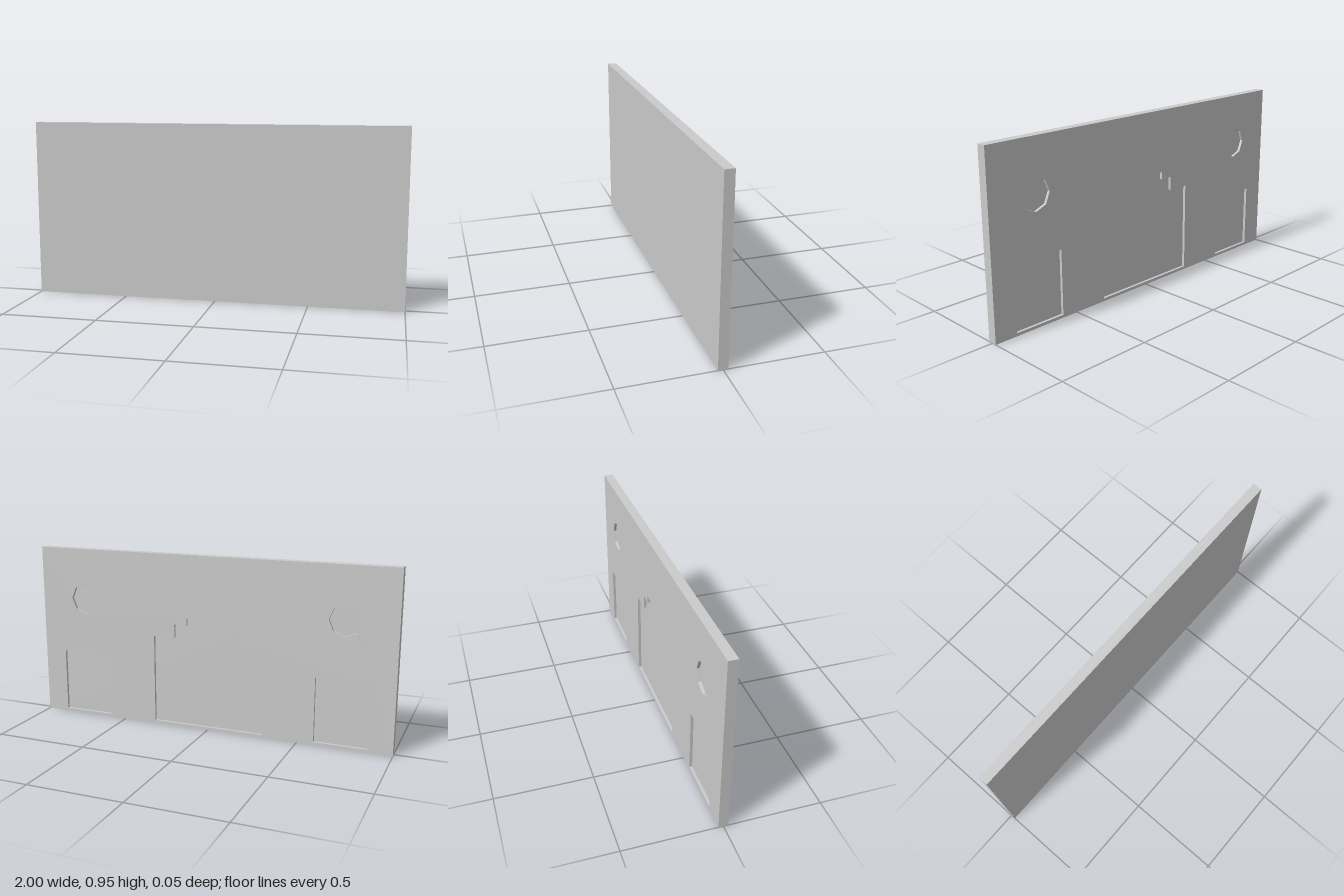
import * as THREE from 'three';

const WIDTH = 2, HEIGHT = 0.95, THICKNESS = 0.05, RECESS = 0.015;

// Closed path through a list of [x, y] corners
const outline = (corners, Type = THREE.Path) =>
  new Type(corners.map(([x, y]) => new THREE.Vector2(x, y)));

const rectangle = (x0, x1, y0, y1) => [[x0, y0], [x1, y0], [x1, y1], [x0, y1]];

const octagon = (cx, cy, r) => Array.from({ length: 8 }, (_, i) => {
  const a = i * Math.PI / 4;
  return [cx + r * Math.cos(a), cy + r * Math.sin(a)];
});

export function createModel() {
  const group = new THREE.Group();
  group.name = 'recessedPanel';
  const material = new THREE.MeshStandardMaterial({ color: 0xcccccc, flatShading: true });

  // Solid front layer, whose rear side is the floor of the recesses
  const solid = THICKNESS - RECESS;
  const front = new THREE.Mesh(new THREE.BoxGeometry(WIDTH, HEIGHT, solid), material);
  front.name = 'frontPlate';
  front.position.set(0, HEIGHT / 2, THICKNESS / 2 - solid / 2);
  group.add(front);

  // Rear layer with cut-outs
  const shape = outline(rectangle(-WIDTH / 2, WIDTH / 2, 0, HEIGHT), THREE.Shape);

  // Stepped central recess, mirrored from its +x half
  const half = [[0.313, 0.016], [0.313, 0.498], [0.192, 0.498], [0.192, 0.572], [0.121, 0.572], [0.121, 0.612]];
  const mirrored = half.map(([x, y]) => [-x, y]).reverse();
  shape.holes.push(outline([...half, ...mirrored]));

  // Rectangular and octagonal recesses on each side
  for (const s of [-1, 1]) {
    shape.holes.push(outline(rectangle(s * 0.59, s * 0.876, 0.016, 0.362)));
    shape.holes.push(outline(octagon(s * 0.733, 0.671, 0.084)));
  }

  const rear = new THREE.Mesh(
    new THREE.ExtrudeGeometry(shape, { depth: RECESS, bevelEnabled: false }), material);
  rear.name = 'rearRecessedPlate';
  rear.position.z = -THICKNESS / 2;
  group.add(rear);

  return group;
}
